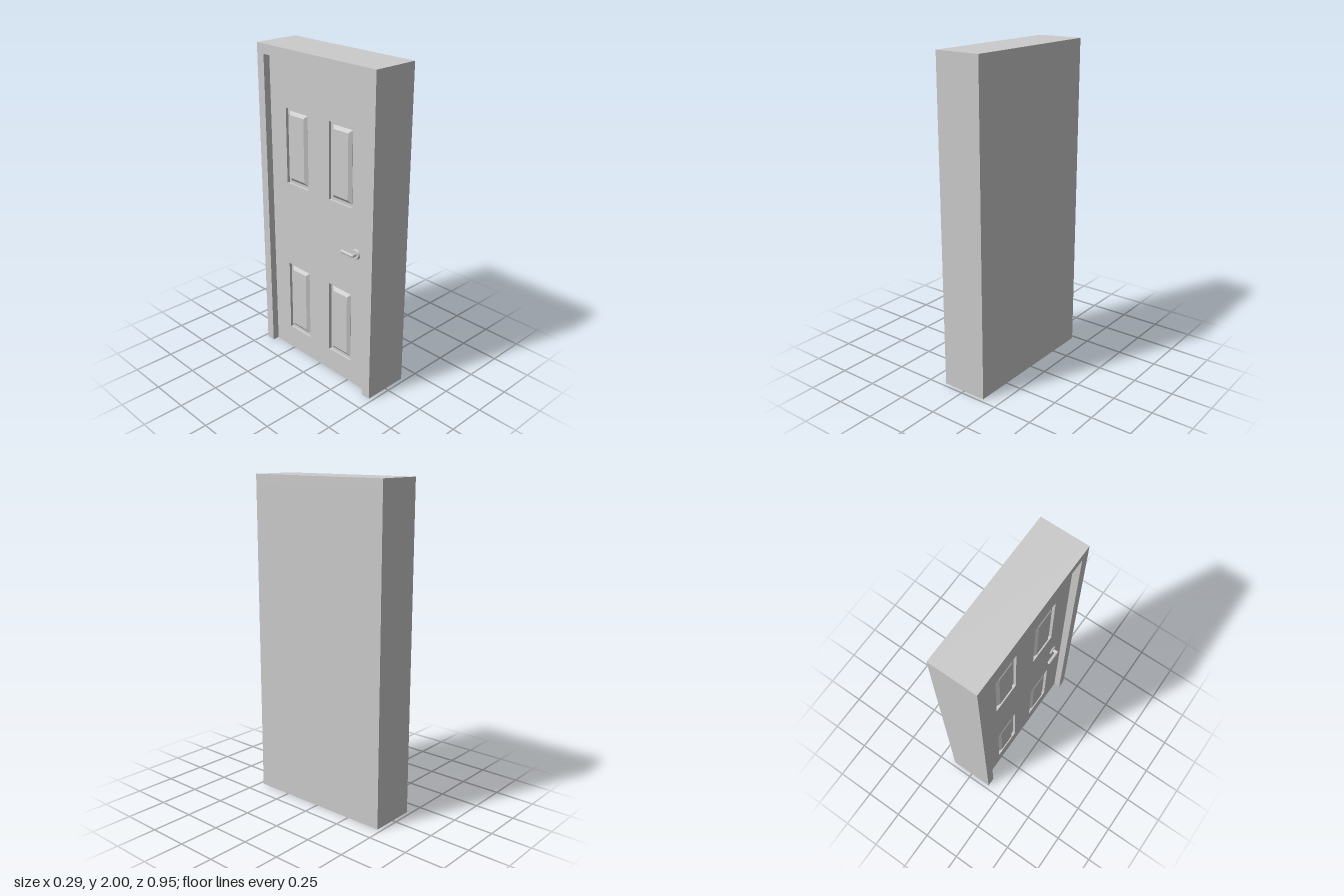
import * as THREE from 'three';

const mat = new THREE.MeshStandardMaterial({ color: 0xcccccc });

// Overall half width, height and half depth; frame border; door planes
const W = 0.475, H = 2, D = 0.146, B = 0.057;
const FACE = 0.103, GROOVE = 0.085;

function rectPoints(x0, y0, x1, y1) {
  return [[x0, y0], [x1, y0], [x1, y1], [x0, y1]].map(([x, y]) => new THREE.Vector2(x, y));
}

function add(parent, name, geometry, x = 0, y = 0, z = 0) {
  const mesh = new THREE.Mesh(geometry, mat);
  mesh.name = name;
  mesh.position.set(x, y, z);
  parent.add(mesh);
  return mesh;
}

export function createModel() {
  const model = new THREE.Group();
  model.name = 'door';
  // Built facing +z, then turned so the panelled face looks along -x
  const body = new THREE.Group();
  body.name = 'doorAssembly';
  body.rotation.y = -Math.PI / 2;
  model.add(body);

  // Frame: two jambs and a header in one piece
  const inner = W - B, top = H - 0.06;
  const frame = new THREE.Shape([
    [-W, 0], [-inner, 0], [-inner, top], [inner, top], [inner, 0], [W, 0], [W, H], [-W, H],
  ].map(([x, y]) => new THREE.Vector2(x, y)));
  add(body, 'frame', new THREE.ExtrudeGeometry(frame, { depth: 2 * D, bevelEnabled: false }), 0, 0, -D);

  // Solid core behind the door face
  add(body, 'doorCore', new THREE.BoxGeometry(2 * inner, top, D + GROOVE), 0, top / 2, (GROOVE - D) / 2);

  // Door face with four sunk openings, each holding a raised bevelled panel
  const face = new THREE.Shape(rectPoints(-inner, 0, inner, top));
  const panelW = 0.19, panelH = 0.47, inset = 0.038, bevel = 0.02;
  for (const cx of [-0.187, 0.179]) {
    for (const cy of [0.386, 1.406]) {
      const x = panelW / 2, y = panelH / 2;
      face.holes.push(new THREE.Path(rectPoints(cx - x, cy - y, cx + x, cy + y)));
      const panel = new THREE.Shape(rectPoints(inset - x, inset - y, x - inset, y - inset));
      add(body, 'raisedPanel', new THREE.ExtrudeGeometry(panel, {
        depth: 0.002, bevelThickness: 0.015, bevelSize: bevel, bevelSegments: 1,
      }), cx, cy, GROOVE);
    }
  }
  add(body, 'doorFace', new THREE.ExtrudeGeometry(face, { depth: FACE - GROOVE, bevelEnabled: false }), 0, 0, GROOVE);

  // Lever handle: round rose, spindle and a lever pointing to the hinge side
  const handle = new THREE.Group();
  handle.name = 'handle';
  handle.position.set(0.31, 0.9, FACE);
  body.add(handle);
  add(handle, 'rose', new THREE.CylinderGeometry(0.027, 0.032, 0.01, 24), 0, 0, 0.005).rotation.x = Math.PI / 2;
  add(handle, 'spindle', new THREE.CylinderGeometry(0.011, 0.011, 0.03, 16), 0, 0, 0.02).rotation.x = Math.PI / 2;
  const lever = new THREE.CapsuleGeometry(0.01, 0.085, 6, 14);
  add(handle, 'lever', lever, -0.04, 0, 0.032).rotation.z = Math.PI / 2;

  return model;
}
